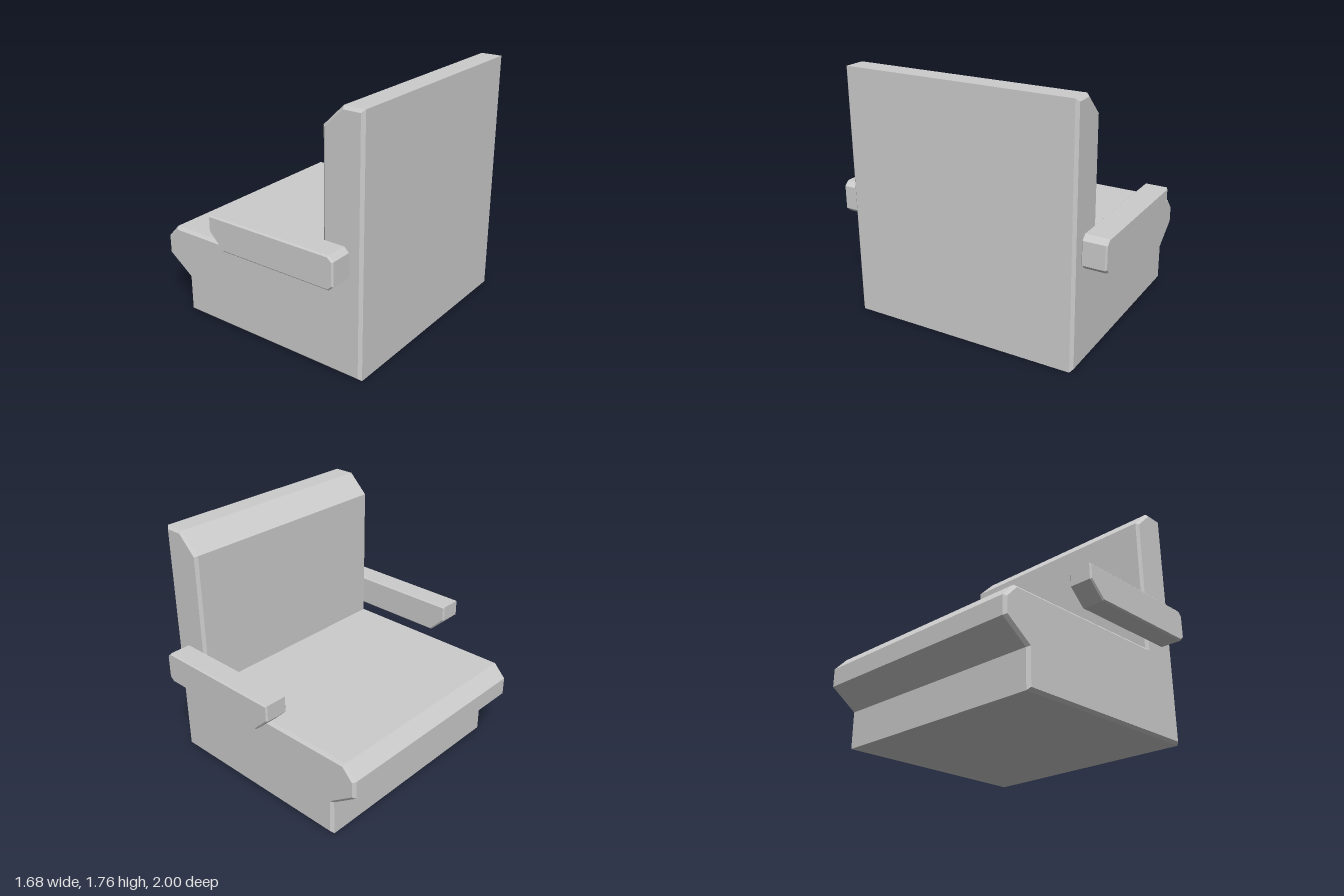
import * as THREE from 'three';

const material = new THREE.MeshStandardMaterial({ color: 0xcccccc, flatShading: true });

// Extrudes a side outline from z0 to z1, with the bevel cut inside the outline.
function bevelledSlab(name, outline, z0, z1, bevel) {
  const shape = new THREE.Shape(outline.map(([x, y]) => new THREE.Vector2(x, y)));
  const geometry = new THREE.ExtrudeGeometry(shape, {
    depth: z1 - z0 - 2 * bevel,
    bevelEnabled: true,
    bevelSegments: 1,
    bevelThickness: bevel,
    bevelSize: bevel,
    bevelOffset: -bevel,
  });
  geometry.translate(0, 0, z0 + bevel);
  const mesh = new THREE.Mesh(geometry, material);
  mesh.name = name;
  return mesh;
}

export function createModel() {
  const model = new THREE.Group();
  model.name = 'armchair';

  // Base, overhanging seat and tall backrest in one block; the seat faces -x
  const body = [
    [-0.65, 0], [0.84, 0], [0.84, 1.76], [0.69, 1.76], [0.547, 1.62],
    [0.547, 0.625], [-0.75, 0.625], [-0.84, 0.53], [-0.84, 0.4], [-0.65, 0.262],
  ];
  model.add(bevelledSlab('seatAndBackrest', body, -0.835, 0.835, 0.02));

  // Armrests on both sides
  const arm = [
    [-0.135, 0.677], [0.715, 0.677], [0.75, 0.708], [0.75, 0.872],
    [0.715, 0.905], [-0.252, 0.905], [-0.252, 0.79],
  ];
  model.add(bevelledSlab('armrestFront', arm, 0.83, 1, 0.01));
  model.add(bevelledSlab('armrestRear', arm, -1, -0.83, 0.01));

  return model;
}
